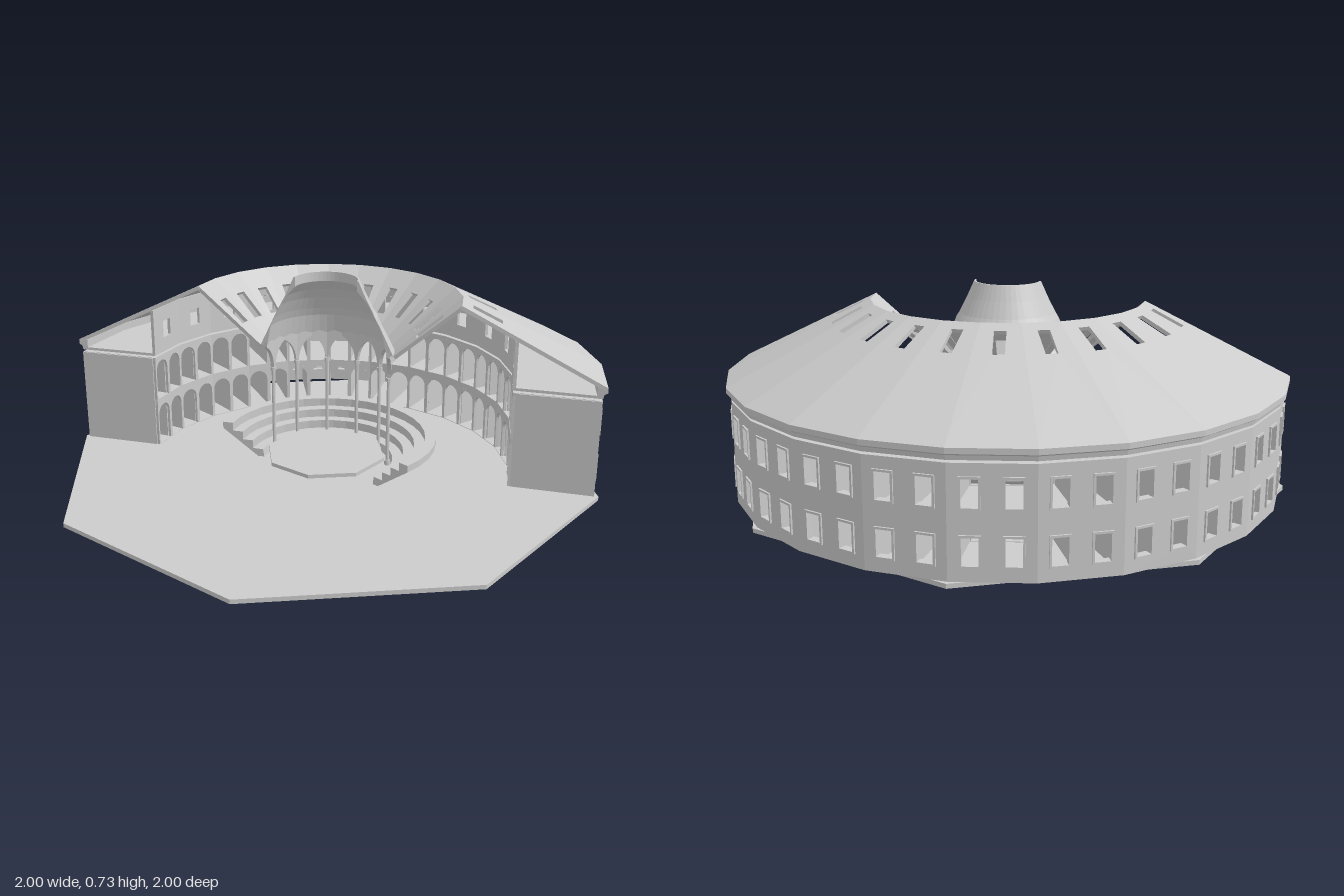
import * as THREE from 'three';

const mat = new THREE.MeshStandardMaterial({ color: 0xcccccc, flatShading: true, side: THREE.DoubleSide });
const STEP = Math.PI / 12;              // one facet of the half ring
const HALF = STEP / 2;

function add(parent, name, geo) {
  const m = new THREE.Mesh(geo, mat);
  m.name = name;
  parent.add(m);
  return m;
}
function group(parent, name) {
  const g = new THREE.Group();
  g.name = name;
  parent.add(g);
  return g;
}
const poly = pts => new THREE.Shape(pts.map(p => new THREE.Vector2(p[0], p[1])));

// Rectangle in panel coordinates, centred on (u, v)
const rect = (u, v, w, h) => poly([[u - w / 2, v - h / 2], [u + w / 2, v - h / 2], [u + w / 2, v + h / 2], [u - w / 2, v + h / 2]]);

// Round-headed opening standing on v = 0.002
function archHole(u, w, spring) {
  const p = new THREE.Path();
  p.moveTo(u - w / 2, 0.002);
  p.lineTo(u + w / 2, 0.002);
  p.lineTo(u + w / 2, spring);
  p.absarc(u, spring, w / 2, 0, Math.PI, false);
  p.closePath();
  return p;
}

// Closed profile swept around the axis from angle a0 (0 = +x, going to -z), with capped ends
function sweep(parent, name, profile, a0 = 0, a1 = Math.PI, segs = 12) {
  const g = group(parent, name);
  const pts = [...profile, profile[0]].map(p => new THREE.Vector2(p[0], p[1]));
  add(g, name + 'Ring', new THREE.LatheGeometry(pts, segs, a0 + Math.PI / 2, a1 - a0));
  for (const a of [a0, a1]) add(g, name + 'End', new THREE.ShapeGeometry(poly(profile))).rotation.y = a;
}
const slab = (r0, r1, y0, y1) => [[r0, y0], [r1, y0], [r1, y1], [r0, y1]];

// Places an extruded shape on the facet centred at angle a, rising from (r0,y0) to (r1,y1)
function onFacet(parent, name, shape, depth, offset, a, [r0, y0], [r1, y1]) {
  const c = Math.cos(HALF);
  const e = new THREE.Vector3(Math.cos(a), 0, -Math.sin(a));
  const u = new THREE.Vector3(-Math.sin(a), 0, -Math.cos(a));
  const v = e.clone().multiplyScalar((r1 - r0) * c);
  v.y = y1 - y0;
  v.normalize();
  const n = u.clone().cross(v);
  const o = e.clone().multiplyScalar(r0 * c);
  o.y = y0;
  o.addScaledVector(n, offset);
  const geo = new THREE.ExtrudeGeometry(shape, { depth, bevelEnabled: false, curveSegments: 6 });
  geo.applyMatrix4(new THREE.Matrix4().makeBasis(u, v, n).setPosition(o));
  return add(parent, name, geo);
}

// Twelve trapezoid panels with openings
function panelRing(parent, name, p0, p1, depth, offset, makeHoles) {
  const g = group(parent, name);
  const len = Math.hypot((p1[0] - p0[0]) * Math.cos(HALF), p1[1] - p0[1]);
  const w0 = p0[0] * Math.sin(HALF), w1 = p1[0] * Math.sin(HALF);
  for (let k = 0; k < 12; k++) {
    const s = poly([[-w0, 0], [w0, 0], [w1, len], [-w1, len]]);
    s.holes.push(...makeHoles());
    onFacet(g, name + 'Panel', s, depth, offset, (k + 0.5) * STEP, p0, p1);
  }
}

export function createModel() {
  const model = new THREE.Group();
  model.name = 'roundTheatre';

  // Ground plate and stage
  add(model, 'groundPlate', new THREE.CylinderGeometry(1, 1, 0.015, 8)).position.y = 0.0075;
  add(model, 'stage', new THREE.CylinderGeometry(0.225, 0.225, 0.014, 8)).position.y = 0.062;

  // Stepped seating, running on past the cut on one side
  const seat = [[0.245, 0.015], [0.25, 0.045]];
  for (let i = 0; i < 4; i++) {
    const r = 0.25 + i * 0.04, y = 0.045 + i * 0.0317;
    if (i) seat.push([r, y]);
    seat.push([r + 0.04, y]);
  }
  seat.push([0.41, 0.115], [0.27, 0.015]);
  sweep(model, 'seating', seat, -Math.PI / 6, Math.PI, 21);

  // Outer wall with two rows of framed windows
  const wallBottom = [0.985, 0.015], wallTop = [0.985, 0.372];
  const windows = [];
  for (const u of [-0.063, 0.063]) for (const v of [0.093, 0.268]) windows.push([u, v]);
  panelRing(model, 'outerWall', wallBottom, wallTop, 0.025, -0.025,
    () => windows.map(([u, v]) => rect(u, v, 0.054, 0.09)));
  const frames = group(model, 'windowFrames');
  for (let k = 0; k < 12; k++) for (const [u, v] of windows) {
    const s = rect(u, v, 0.064, 0.1);
    s.holes.push(rect(u, v, 0.05, 0.086));
    onFacet(frames, 'windowFrame', s, 0.012, -0.006, (k + 0.5) * STEP, wallBottom, wallTop);
  }

  // Gallery floors
  sweep(model, 'galleryFloor', slab(0.68, 0.965, 0.18, 0.2));
  sweep(model, 'galleryCeiling', slab(0.68, 0.965, 0.358, 0.372));

  // Radial walls between the rooms, the first and last closing the wings
  const walls = group(model, 'radialWalls');
  for (let k = 0; k <= 24; k++) {
    const end = k % 24 === 0;
    const r0 = 0.69, r1 = end ? 0.985 : 0.96;
    const geo = new THREE.BoxGeometry(r1 - r0, 0.355, end ? 0.01 : 0.007);
    geo.translate((r0 + r1) / 2, 0.193, 0);
    add(walls, end ? 'endWall' : 'roomWall', geo).rotation.y = k * HALF;
  }

  // Two storeys of arcades facing the court
  for (const [name, y0, y1] of [['lowerArcade', 0.015, 0.18], ['upperArcade', 0.2, 0.36]])
    panelRing(model, name, [0.69, y0], [0.69, y1], 0.01, -0.01,
      () => [-0.045, 0.045].map(u => archHole(u, 0.076, y1 - y0 - 0.046)));

  // Attic floor, attic wall and cornice
  sweep(model, 'atticFloor', slab(0.68, 0.985, 0.38, 0.39));
  panelRing(model, 'atticWall', [0.69, 0.39], [0.69, 0.56], 0.012, -0.012, () => [rect(0, 0.08, 0.05, 0.065)]);
  sweep(model, 'cornice', [[0.965, 0.38], [0.985, 0.38], [0.988, 0.395], [1, 0.402], [1, 0.42], [0.965, 0.42]]);

  // Outer and inner roof slopes with skylights
  panelRing(model, 'outerRoof', [1, 0.42], [0.49, 0.67], 0.014, -0.014, () => [rect(0, 0.464, 0.04, 0.118)]);
  panelRing(model, 'innerRoof', [0.25, 0.465], [0.49, 0.67], 0.014, 0, () => [rect(0, 0.165, 0.04, 0.12)]);

  // Central dome, open at the top: conical outside, vaulted inside
  sweep(model, 'dome', [[0.25, 0.465], [0.145, 0.675], [0.12, 0.73], [0.114, 0.73], [0.114, 0.695],
    [0.15, 0.655], [0.185, 0.6], [0.21, 0.54], [0.225, 0.465]], 0, Math.PI, 24);

  // Pointed arches carrying the dome, one half arch per facet
  const arches = group(model, 'domeArches');
  const w = 0.235 * Math.sin(HALF);
  for (let k = 0; k < 12; k++) {
    const s = k % 2 ? 1 : -1;           // side on which the arch peaks
    const shape = new THREE.Shape();
    shape.moveTo(-w * s, 0);
    shape.lineTo((-w + 0.006) * s, 0);
    shape.quadraticCurveTo((-w + 0.008) * s, 0.072, w * s, 0.1);
    shape.lineTo(w * s, 0.12);
    shape.lineTo(-w * s, 0.12);
    shape.closePath();
    onFacet(arches, 'halfArch', shape, 0.014, -0.01, (k + 0.5) * STEP, [0.235, 0.355], [0.235, 0.475]);
  }

  // Slender columns
  const columns = group(model, 'columns');
  for (let k = 0; k < 6; k++) {
    const a = (2 * k + 1) * STEP;
    const put = (name, rad, h, y) => add(columns, name, new THREE.CylinderGeometry(rad, rad, h, 8))
      .position.set(0.231 * Math.cos(a), y, -0.231 * Math.sin(a));
    put('columnShaft', 0.007, 0.345, 0.1875);
    put('columnBase', 0.011, 0.02, 0.025);
    put('columnCapital', 0.011, 0.014, 0.355);
  }
  return model;
}
